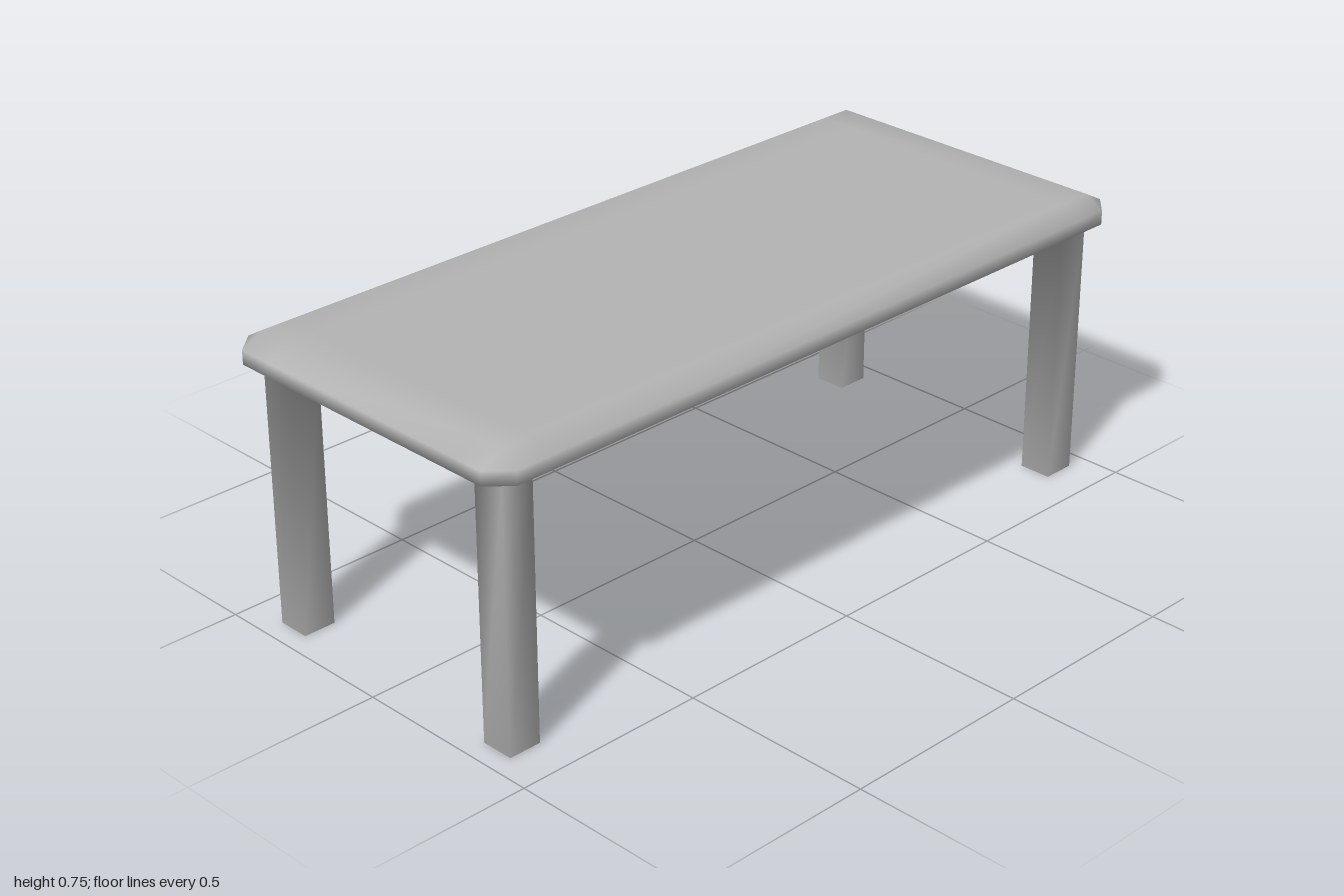
import * as THREE from 'three';

const XS = [-0.395, -0.31, 0.31, 0.395]; // grid lines of the slab and legs
const ZS = [-0.945, -0.86, 0.86, 0.945];
const TOP = 0.745, EDGE_TOP = 0.715, EDGE_LOW = 0.68, UNDER = 0.66;
const RIM = { x: 0.05, z: 0.055 };

export function createModel() {
  const group = new THREE.Group();
  group.name = 'table';
  const grey = new THREE.MeshStandardMaterial({ color: 0xb2b2b2 });
  grey.name = 'grey';

  // Vertices are shared between parts so the shading flows from slab to legs
  const positions = [], lookup = new Map(), parts = {};
  const vertex = ([x, z], y) => {
    const key = [x, y, z].map((v) => v.toFixed(4)).join();
    if (!lookup.has(key)) {
      lookup.set(key, positions.length / 3);
      positions.push(x, y, z);
    }
    return lookup.get(key);
  };
  const quad = (part, a, b, c, d) => {
    const index = (parts[part] ??= []);
    for (const t of [[a, b, c], [a, c, d]]) {
      if (new Set(t).size === 3) index.push(...t);
    }
  };
  // Vertical or sloping wall from a lower loop to an upper loop
  const wall = (part, low, yLow, high, yHigh) => {
    low.forEach((p, i) => {
      const j = (i + 1) % low.length;
      quad(part, vertex(p, yLow), vertex(low[j], yLow), vertex(high[j], yHigh), vertex(high[i], yHigh));
    });
  };

  // Rounded rim: each side is pushed outward, leaving cut corners
  const inner = [], outer = [];
  const rim = (x, z, nx, nz) => {
    inner.push([x, z]);
    outer.push([x + nx * RIM.x, z + nz * RIM.z]);
  };
  const back = (list) => [...list].reverse();
  XS.forEach((x) => rim(x, ZS[3], 0, 1));
  back(ZS).forEach((z) => rim(XS[3], z, 1, 0));
  back(XS).forEach((x) => rim(x, ZS[0], 0, -1));
  ZS.forEach((z) => rim(XS[0], z, -1, 0));
  wall('tabletop', outer, EDGE_TOP, inner, TOP);
  wall('tabletop', outer, EDGE_LOW, outer, EDGE_TOP);
  wall('tabletop', inner, UNDER, outer, EDGE_LOW);

  // Top and underside cells; a leg grows from each corner cell
  for (let i = 0; i < 3; i++) {
    for (let k = 0; k < 3; k++) {
      const cell = [[XS[i], ZS[k + 1]], [XS[i + 1], ZS[k + 1]], [XS[i + 1], ZS[k]], [XS[i], ZS[k]]];
      const face = (y) => cell.map((p) => vertex(p, y));
      quad('tabletop', ...face(TOP));
      if (i !== 1 && k !== 1) {
        const leg = (k ? 'front' : 'back') + (i ? 'Left' : 'Right') + 'Leg';
        wall(leg, cell, 0, cell, UNDER);
        quad(leg, ...face(0).reverse());
      } else {
        quad('tabletop', ...face(UNDER).reverse());
      }
    }
  }

  // Smooth normals over the whole table, then one mesh per part
  const whole = new THREE.BufferGeometry();
  whole.setAttribute('position', new THREE.Float32BufferAttribute(positions, 3));
  whole.setIndex(Object.values(parts).flat());
  whole.computeVertexNormals();
  for (const [name, index] of Object.entries(parts)) {
    whole.setIndex(index);
    const mesh = new THREE.Mesh(whole.toNonIndexed(), grey);
    mesh.name = name;
    group.add(mesh);
  }
  return group;
}
